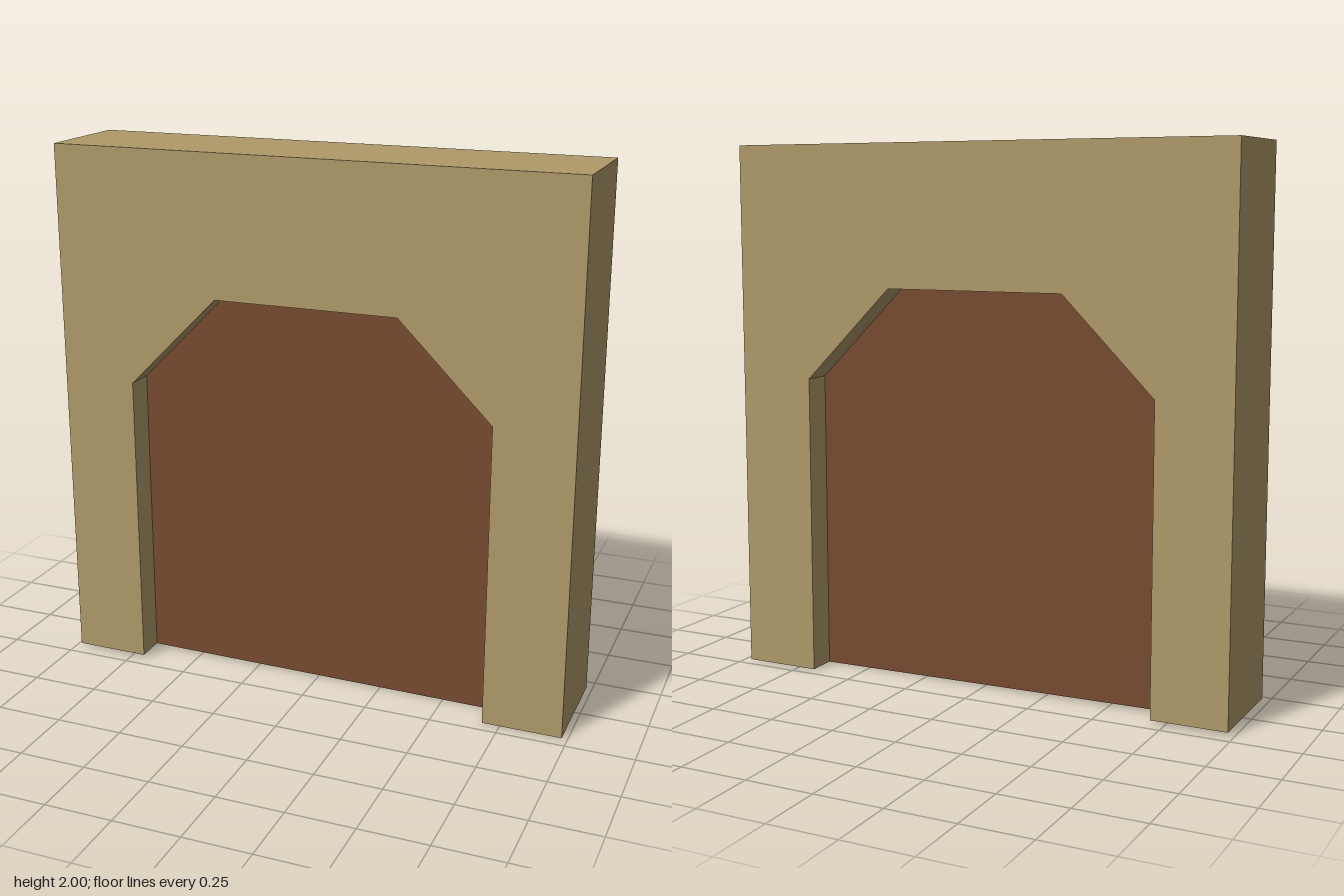
import * as THREE from 'three';

// Extrude an outline of [x, y] points, centred on z = 0
function slab(name, points, depth, color) {
  const shape = new THREE.Shape(points.map(([x, y]) => new THREE.Vector2(x, y)));
  const geometry = new THREE.ExtrudeGeometry(shape, { depth, bevelEnabled: false });
  geometry.translate(0, 0, -depth / 2);
  const mesh = new THREE.Mesh(geometry, new THREE.MeshStandardMaterial({ color, flatShading: true }));
  mesh.name = name;
  return mesh;
}

export function createModel() {
  const model = new THREE.Group();
  model.name = 'doorway';

  // Opening with chamfered upper corners, from its right foot round to its left;
  // the right foot ends slightly higher than the left one
  const footRight = 0.012;
  const opening = [
    [-0.697, footRight], [-0.697, 1.13], [-0.352, 1.477],
    [0.337, 1.477], [0.684, 1.13], [0.684, 0],
  ];

  // Thick wall around the opening
  model.add(slab('wall', [
    ...opening,
    [0.978, 0], [0.978, 2], [-0.978, 2], [-0.978, footRight],
  ], 0.4, 0xb09a6a));

  // Door panel, recessed on both faces
  model.add(slab('door', opening, 0.18, 0x774b32));

  return model;
}
